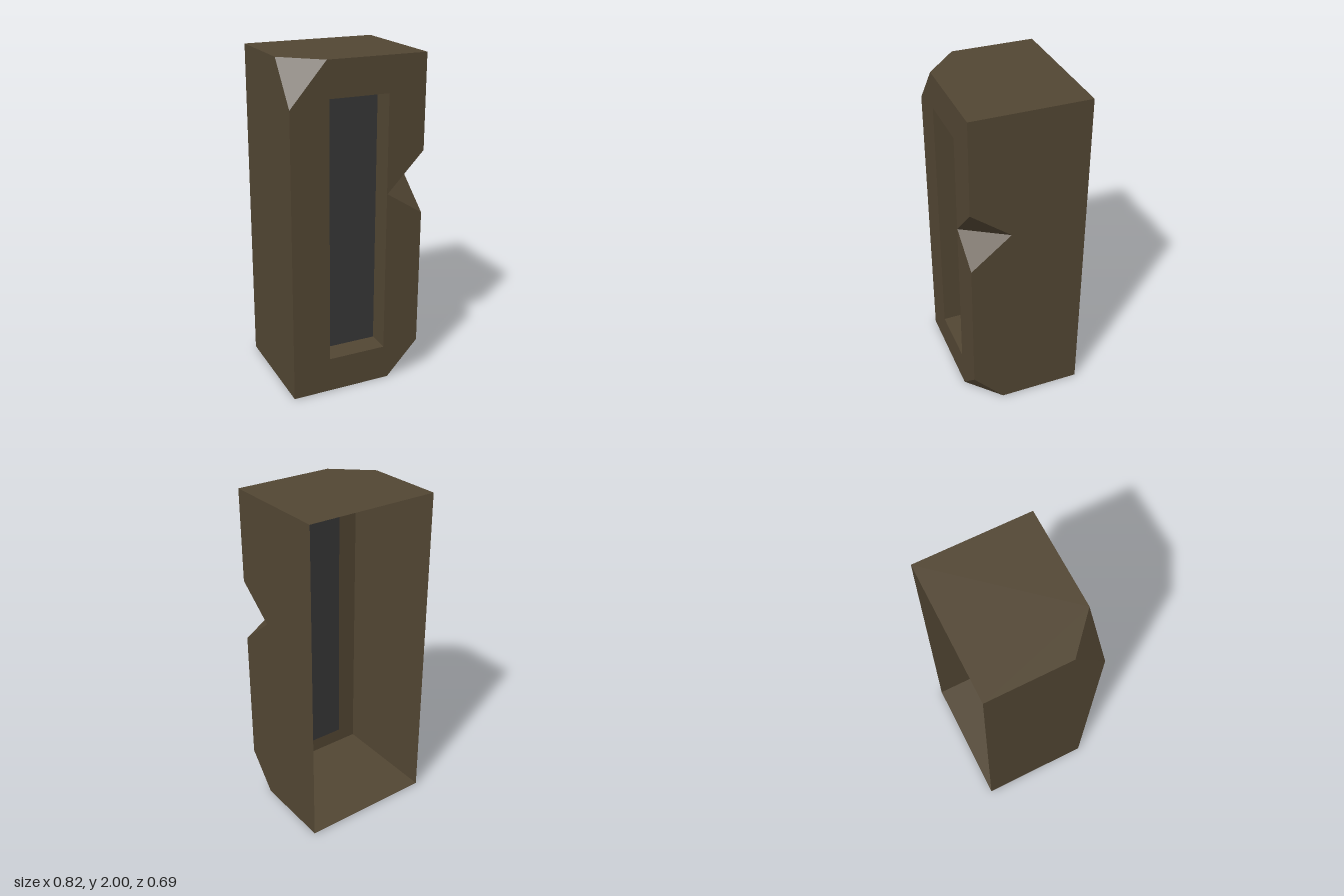
import * as THREE from 'three';

const X = 0.41, Z = 0.345, H = 2;         // half width, half depth, height
const HX = 0.18, Y0 = 0.215, Y1 = 1.79;   // recess opening
const DEPTH = 0.14;

export function createModel() {
  const group = new THREE.Group();
  group.name = 'chippedBlock';
  const stone = new THREE.MeshStandardMaterial({ name: 'brownStone', color: 0x524633, side: THREE.DoubleSide });
  const slate = new THREE.MeshStandardMaterial({ name: 'darkGrey', color: 0x363636, side: THREE.DoubleSide });

  const add = (name, geometry, material = stone) => {
    const mesh = new THREE.Mesh(geometry, material);
    mesh.name = name;
    group.add(mesh);
    return geometry;
  };
  const shape = (pts) => new THREE.Shape(pts.map(([x, y]) => new THREE.Vector2(x, y)));
  const panel = (name, pts) => add(name, new THREE.ShapeGeometry(shape(pts)));
  const facet = (name, ...corners) => {
    const g = new THREE.BufferGeometry();
    g.setAttribute('position', new THREE.Float32BufferAttribute(corners.flat(), 3));
    g.computeVertexNormals();
    add(name, g);
  };

  // Corners of the chips
  const topA = [-X, 1.75, Z], topB = [-0.195, H, Z], topC = [-X, H, 0.15];
  const lowA = [X, 0.215, Z], lowB = [0.21, 0, Z], lowC = [X, 0, 0.155];
  const notchTop = [X, 1.44, Z], notchLow = [X, 1.06, Z];
  const notchFront = [0.183, 1.205, Z], notchSide = [X, 1.255, 0.105];

  // Front wall with a tall rectangular opening
  const front = shape([[-X, 0], lowB, lowA, notchLow, notchFront, notchTop, [X, H], topB, topA]);
  front.holes.push(new THREE.Path([[-HX, Y0], [-HX, Y1], [HX, Y1], [HX, Y0]]
    .map(([x, y]) => new THREE.Vector2(x, y))));
  add('frontWall', new THREE.ShapeGeometry(front)).translate(0, 0, Z);

  // Side walls, drawn flat and turned outward; the back is open
  panel('leftWall', [[-lowC[2], 0], [Z, 0], [Z, H], [-Z, H],
    ...[notchTop, notchSide, notchLow, lowA].map((p) => [-p[2], p[1]])])
    .rotateY(Math.PI / 2).translate(X, 0, 0);
  panel('rightWall', [[-Z, 0], [Z, 0], [Z, topA[1]], [topC[2], H], [-Z, H]])
    .rotateY(-Math.PI / 2).translate(-X, 0, 0);

  // Top and bottom
  panel('top', [[topB[0], -Z], [X, -Z], [X, Z], [-X, Z], [-X, -topC[2]]])
    .rotateX(-Math.PI / 2).translate(0, H, 0);
  panel('bottom', [[-X, -Z], [X, -Z], [X, lowC[2]], [lowB[0], Z], [-X, Z]])
    .rotateX(Math.PI / 2);

  // Chipped corners and the edge notch
  facet('topChip', topA, topB, topC);
  facet('bottomChip', lowA, lowB, lowC);
  facet('notchUpperFace', notchTop, notchFront, notchSide);
  facet('notchLowerFace', notchLow, notchSide, notchFront);

  // Recess walls and its grey back panel
  const yMid = (Y0 + Y1) / 2, zMid = Z - DEPTH / 2;
  for (const s of [-1, 1]) {
    add('recessSide', new THREE.PlaneGeometry(DEPTH, Y1 - Y0))
      .rotateY(-s * Math.PI / 2).translate(s * HX, yMid, zMid);
    add('recessEnd', new THREE.PlaneGeometry(2 * HX, DEPTH))
      .rotateX(s * Math.PI / 2).translate(0, s > 0 ? Y1 : Y0, zMid);
  }
  add('recessPanel', new THREE.PlaneGeometry(2 * HX, Y1 - Y0), slate).translate(0, yMid, Z - DEPTH);

  return group;
}
